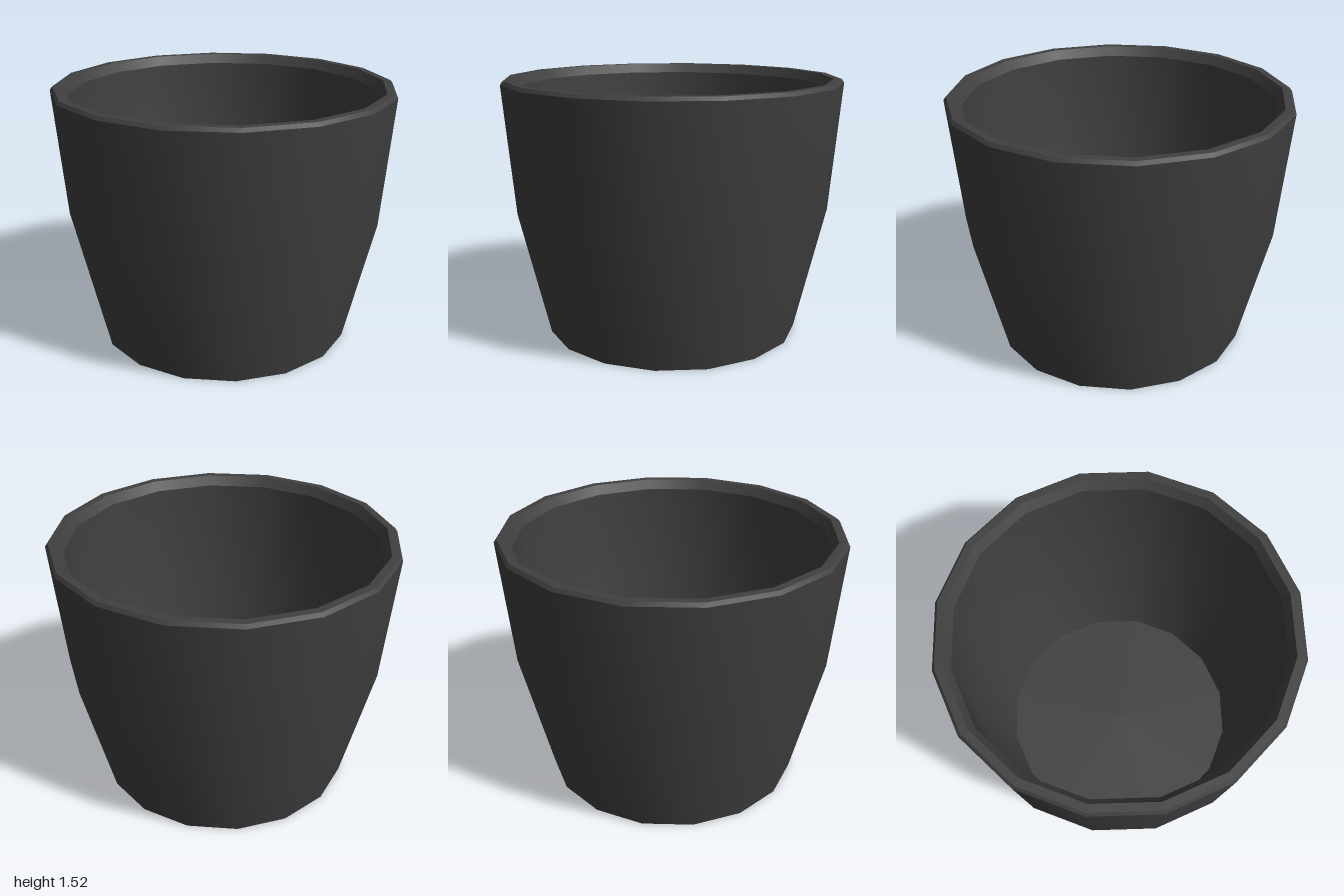
import * as THREE from 'three';

const SIDES = 16;

export function createModel() {
  const group = new THREE.Group();
  group.name = 'plantPot';
  const material = new THREE.MeshStandardMaterial({ color: 0x404040 });

  // Each part is its own lathe, so edges between parts stay sharp
  const turn = (name, profile) => {
    const points = profile.map(([r, y]) => new THREE.Vector2(r, y));
    const mesh = new THREE.Mesh(new THREE.LatheGeometry(points, SIDES), material);
    mesh.name = name;
    group.add(mesh);
  };

  // Profiles run from the underside, up the outside, over the rim and down inside
  turn('underside', [[0, 0], [0.76, 0]]);
  turn('outerWall', [[0.76, 0], [0.935, 0.75], [1, 1.505]]);
  turn('rimBevel', [[1, 1.505], [0.985, 1.525]]);
  turn('rimTop', [[0.985, 1.525], [0.94, 1.525]]);
  turn('innerLip', [[0.94, 1.525], [0.905, 1.47]]);
  turn('innerWall', [[0.905, 1.47], [0.88, 0.75], [0.72, 0.04]]);
  turn('floor', [[0.72, 0.04], [0, 0.04]]);

  return group;
}
